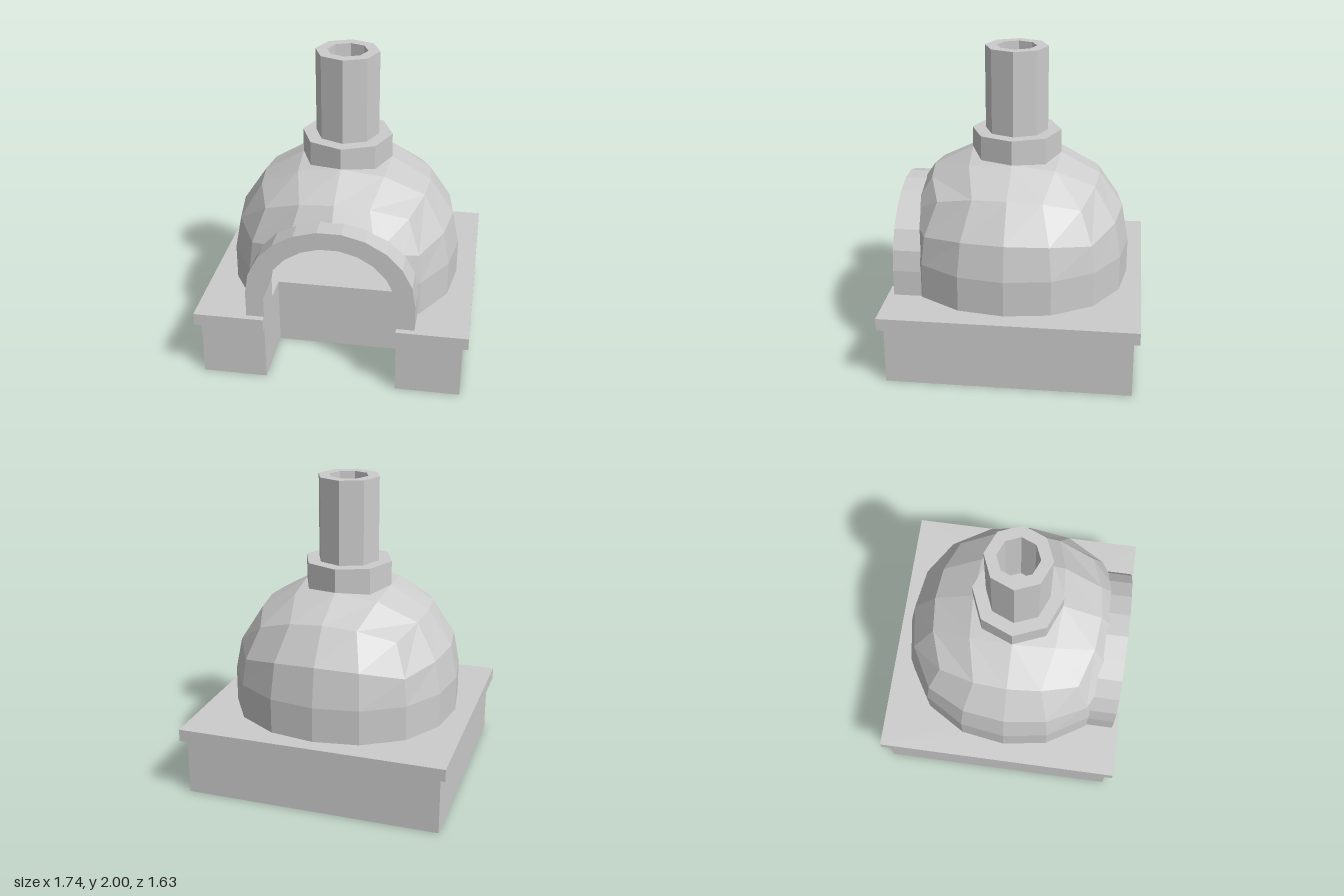
import * as THREE from 'three';

const CZ = 0.035; // depth position of the dome and chimney axis

// Half-ellipse arch outline with straight legs, from right leg to left leg
function archPoints(rx, ry, springY, footY, n = 11) {
  const pts = [new THREE.Vector2(rx, footY)];
  for (let i = 0; i <= n; i++) {
    const a = (Math.PI * i) / n;
    pts.push(new THREE.Vector2(rx * Math.cos(a), springY + ry * Math.sin(a)));
  }
  pts.push(new THREE.Vector2(-rx, footY));
  return pts;
}

// U-shaped slab with a notch in the front edge
function notchedSlab(hx, hz, y0, y1) {
  const w = 0.42, back = -0.36;
  const shape = new THREE.Shape([
    [-hx, -hz], [-w, -hz], [-w, back], [w, back], [w, -hz], [hx, -hz], [hx, hz], [-hx, hz],
  ].map(([x, y]) => new THREE.Vector2(x, y)));
  return new THREE.ExtrudeGeometry(shape, { depth: y1 - y0, bevelEnabled: false })
    .rotateX(-Math.PI / 2).translate(0, y0, 0);
}

// Part of a polygon on one side of the line a-b in the xy plane
function clip(poly, a, b, sign) {
  const dist = (p) => sign * ((b.x - a.x) * (p.y - a.y) - (b.y - a.y) * (p.x - a.x));
  const out = [];
  poly.forEach((p, i) => {
    const q = poly[(i + 1) % poly.length];
    const dp = dist(p), dq = dist(q);
    if (dp >= 0) out.push(p);
    if ((dp > 0 && dq < 0) || (dp < 0 && dq > 0)) out.push(p.clone().lerp(q, dp / (dp - dq)));
  });
  return out;
}

// Cube rounded into a dome with a short upright skirt, and a doorway cut through its front
function domeShell(radius, height, inward) {
  const footY = 0.46, ringY = 0.69;
  const box = new THREE.BoxGeometry(2, 2, 2, 4, 4, 4).toNonIndexed();
  const src = box.attributes.position;
  const bend = (t) => Math.tan((t * Math.PI) / 4);
  const place = (i) => {
    const cy = src.getY(i);
    const d = new THREE.Vector3(bend(src.getX(i)), bend(Math.max(cy, 0)), bend(src.getZ(i))).normalize();
    const x2 = d.x * d.x, y2 = d.y * d.y, z2 = d.z * d.z;
    d.multiplyScalar(1 + 0.144 * (x2 * y2 + y2 * z2 + z2 * x2));
    const lift = 0.05 * Math.max(d.z, 0) * d.y - 0.034 * d.x * d.x * Math.min(1, 3 * d.y);
    const y = cy < -0.01 ? footY : ringY + height * d.y + lift;
    return new THREE.Vector3(radius * d.x, y, radius * d.z + CZ);
  };

  const door = archPoints(0.48, 0.43, 0.62, 0.3);
  const pos = [];
  const emit = (poly) => {
    for (let k = 1; k + 1 < poly.length; k++) {
      const t = inward ? [poly[0], poly[k + 1], poly[k]] : [poly[0], poly[k], poly[k + 1]];
      t.forEach((p) => pos.push(p.x, p.y, p.z));
    }
  };
  for (let i = 0; i < src.count; i += 3) {
    let rest = [place(i), place(i + 1), place(i + 2)];
    if (rest.every((p) => p.y < footY + 0.001)) continue;
    if (rest[0].z + rest[1].z + rest[2].z < 0.6) { emit(rest); continue; }
    for (let e = 0; e < door.length && rest.length > 2; e++) {
      const a = door[e], b = door[(e + 1) % door.length];
      emit(clip(rest, a, b, -1));
      rest = clip(rest, a, b, 1);
    }
  }
  const g = new THREE.BufferGeometry();
  g.setAttribute('position', new THREE.Float32BufferAttribute(pos, 3));
  g.computeVertexNormals();
  return g;
}

// Eight-sided turned part on the chimney axis
function octagonLathe(profile) {
  const pts = profile.map(([r, y]) => new THREE.Vector2(r, y));
  return new THREE.LatheGeometry(pts, 8).translate(0, 0, CZ);
}

export function createModel() {
  const group = new THREE.Group();
  group.name = 'oven';
  const stone = new THREE.MeshStandardMaterial({ color: 0xcccccc, flatShading: true });
  stone.name = 'stone grey';
  const add = (name, geometry) => {
    const mesh = new THREE.Mesh(geometry, stone);
    mesh.name = name;
    group.add(mesh);
  };

  // Plinth and overhanging worktop
  add('base', notchedSlab(0.835, 0.778, 0, 0.38));
  add('worktop', notchedSlab(0.872, 0.815, 0.38, 0.46));

  // Dome, outside and inside
  add('dome', domeShell(0.75, 0.645, false));
  add('domeInterior', domeShell(0.69, 0.55, true));

  // Arched doorway
  const arch = new THREE.Shape([
    ...archPoints(0.535, 0.475, 0.63, 0.46),
    ...archPoints(0.42, 0.39, 0.6, 0.46).reverse(),
  ]);
  add('doorArch', new THREE.ExtrudeGeometry(arch, { depth: 0.235, bevelEnabled: false }).translate(0, 0, 0.54));

  // Chimney collar and hollow flue
  add('chimneyCollar', octagonLathe([[0, 1.25], [0.293, 1.25], [0.293, 1.45], [0, 1.45]]));
  add('chimney', octagonLathe([[0.205, 1.45], [0.205, 2], [0.13, 2], [0.13, 1.46], [0, 1.46]]));

  return group;
}
